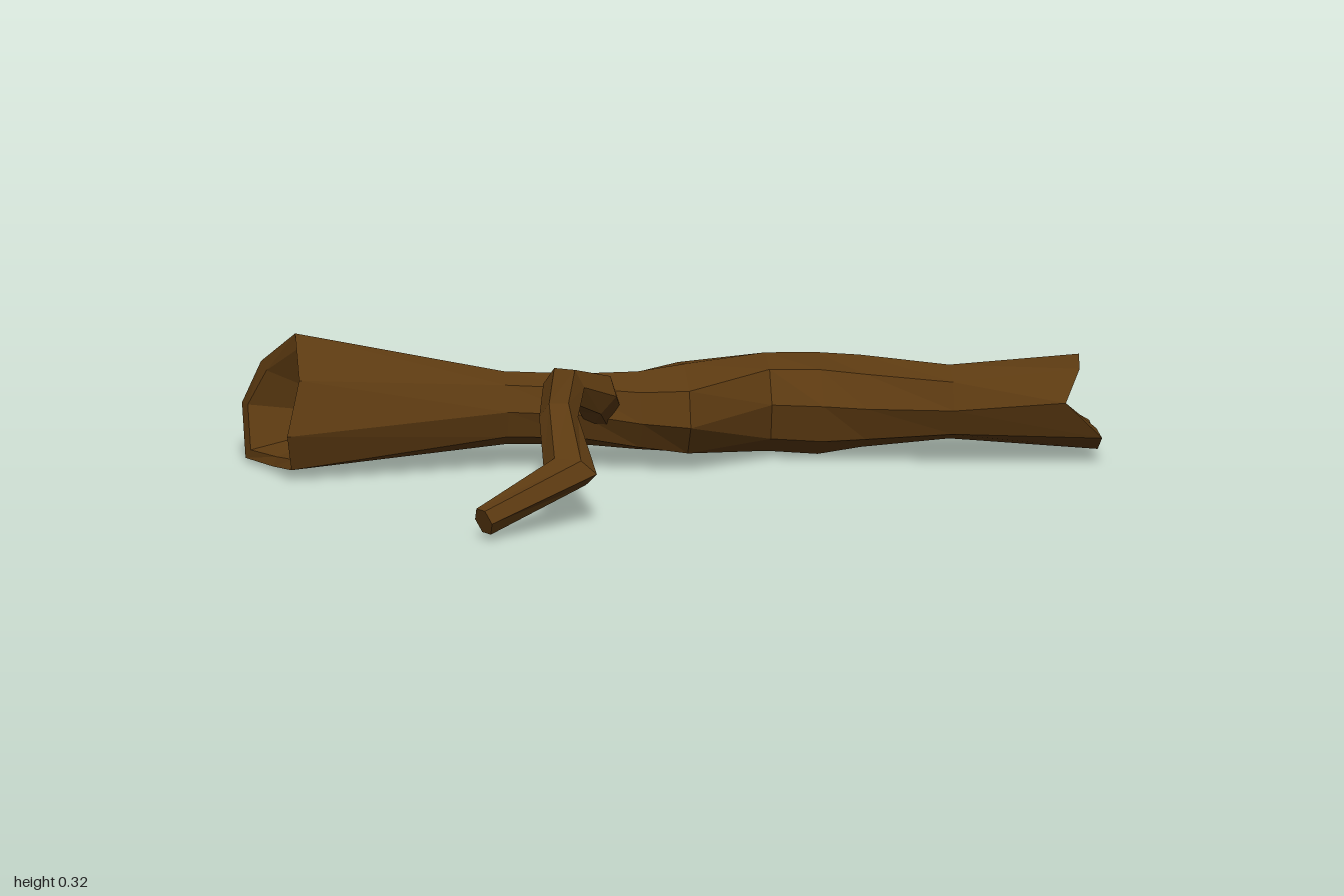
import * as THREE from 'three';

const bark = new THREE.MeshStandardMaterial({ color: 0x5c3a11, flatShading: true });
bark.name = 'bark brown';

// Skin a list of rings (each an array of Vector3) into a faceted surface
function loft(rings, name) {
  const pos = [], n = rings[0].length;
  const tri = (...pts) => pts.forEach(p => pos.push(p.x, p.y, p.z));
  for (let i = 0; i < rings.length - 1; i++) {
    for (let j = 0; j < n; j++) {
      const k = (j + 1) % n;
      const a = rings[i][j], b = rings[i][k], c = rings[i + 1][j], d = rings[i + 1][k];
      tri(a, c, b);
      tri(b, c, d);
    }
  }
  const geo = new THREE.BufferGeometry();
  geo.setAttribute('position', new THREE.Float32BufferAttribute(pos, 3));
  geo.computeVertexNormals();
  const mesh = new THREE.Mesh(geo, bark);
  mesh.name = name;
  return mesh;
}

const toRing = pts => pts.map(p => new THREE.Vector3(...p));

function centreOf(ring) {
  return ring.reduce((s, p) => s.add(p), new THREE.Vector3()).divideScalar(ring.length);
}

// Rim and tapering pit of a hollow end; dx points into the log
function hollow(ring, scale, dx, depth) {
  const c = centreOf(ring);
  const rim = ring.map(p => new THREE.Vector3(
    p.x + dx * 0.01, c.y + (p.y - c.y) * scale, c.z + (p.z - c.z) * scale));
  const apex = new THREE.Vector3(c.x + dx * depth, c.y - 0.015, c.z);
  return [rim, ring.map(() => apex)];
}

function createTrunk() {
  // Jagged broken ends, points run from the front (+z) over the top
  const leftEnd = toRing([
    [-0.935, 0.12, -0.155], [-0.9, 0.245, -0.2], [-0.89, 0.325, -0.34], [-0.96, 0.24, -0.42],
    [-1, 0.13, -0.46], [-1, 0.01, -0.4], [-0.95, 0.015, -0.29], [-0.92, 0.03, -0.19]]);
  const rightEnd = toRing([
    [0.91, 0.165, -0.045], [0.95, 0.235, -0.095], [0.96, 0.25, -0.18], [0.92, 0.2, -0.26],
    [0.9, 0.13, -0.28], [1, 0.055, -0.24], [1, 0.025, -0.145], [1, 0.07, -0.07]]);
  // x, bottom, top, back, front, twist
  const sections = [
    [-0.4, 0.055, 0.23, -0.355, -0.195, 0.1],
    [-0.23, 0.055, 0.225, -0.328, -0.175, 0.05],
    [-0.09, 0.04, 0.235, -0.325, -0.13, -0.1],
    [0.02, 0.028, 0.255, -0.355, -0.085, -0.15],
    [0.23, 0.01, 0.245, -0.41, -0.2, 0.15],
    [0.35, 0.0, 0.24, -0.44, -0.17, 0.2],
    [0.45, 0.02, 0.24, -0.4, -0.145, 0.1],
    [0.65, 0.055, 0.235, -0.27, -0.085, 0],
  ];
  const middle = sections.map(([x, y0, y1, z0, z1, twist]) =>
    Array.from({ length: 8 }, (_, j) => {
      const a = j * Math.PI / 4 + twist;
      return new THREE.Vector3(x,
        (y0 + y1) / 2 + (y1 - y0) / 2 * Math.sin(a),
        (z0 + z1) / 2 + (z1 - z0) / 2 * Math.cos(a));
    }));
  return loft([
    ...hollow(leftEnd, 0.82, 1, 0.25).reverse(), leftEnd,
    ...middle,
    rightEnd, ...hollow(rightEnd, 0.74, -1, 0.3),
  ], 'trunk');
}

function createBranch() {
  // x, y, z, half width, half height
  const stations = [
    [-0.17, 0.13, -0.23, 0.05, 0.05],
    [-0.2, 0.2, -0.155, 0.058, 0.055],
    [-0.285, 0.243, -0.075, 0.052, 0.046],
    [-0.325, 0.217, 0.12, 0.046, 0.044],
    [-0.322, 0.128, 0.295, 0.068, 0.042],
    [-0.548, 0.048, 0.43, 0.032, 0.036],
  ];
  const pts = stations.map(s => new THREE.Vector3(s[0], s[1], s[2]));
  const up = new THREE.Vector3(0, 1, 0);
  const rings = pts.map((p, i) => {
    const dirIn = pts[Math.max(i, 1)].clone().sub(pts[Math.max(i, 1) - 1]).normalize();
    const next = Math.min(i + 1, pts.length - 1);
    const dirOut = pts[next].clone().sub(pts[next - 1]).normalize();
    const t = dirIn.add(dirOut).normalize();
    const side = t.clone().cross(up).normalize();
    const top = side.clone().cross(t);
    return Array.from({ length: 6 }, (_, j) => {
      const a = j * Math.PI / 3;
      return p.clone()
        .addScaledVector(side, Math.cos(a) * stations[i][3])
        .addScaledVector(top, Math.sin(a) * stations[i][4]);
    });
  });
  // Closed tip
  const tip = centreOf(rings[rings.length - 1]);
  rings.push(rings[0].map(() => tip));
  return loft(rings, 'sideBranch');
}

export function createModel() {
  const group = new THREE.Group();
  group.name = 'fallenLog';
  group.add(createTrunk(), createBranch());
  return group;
}
